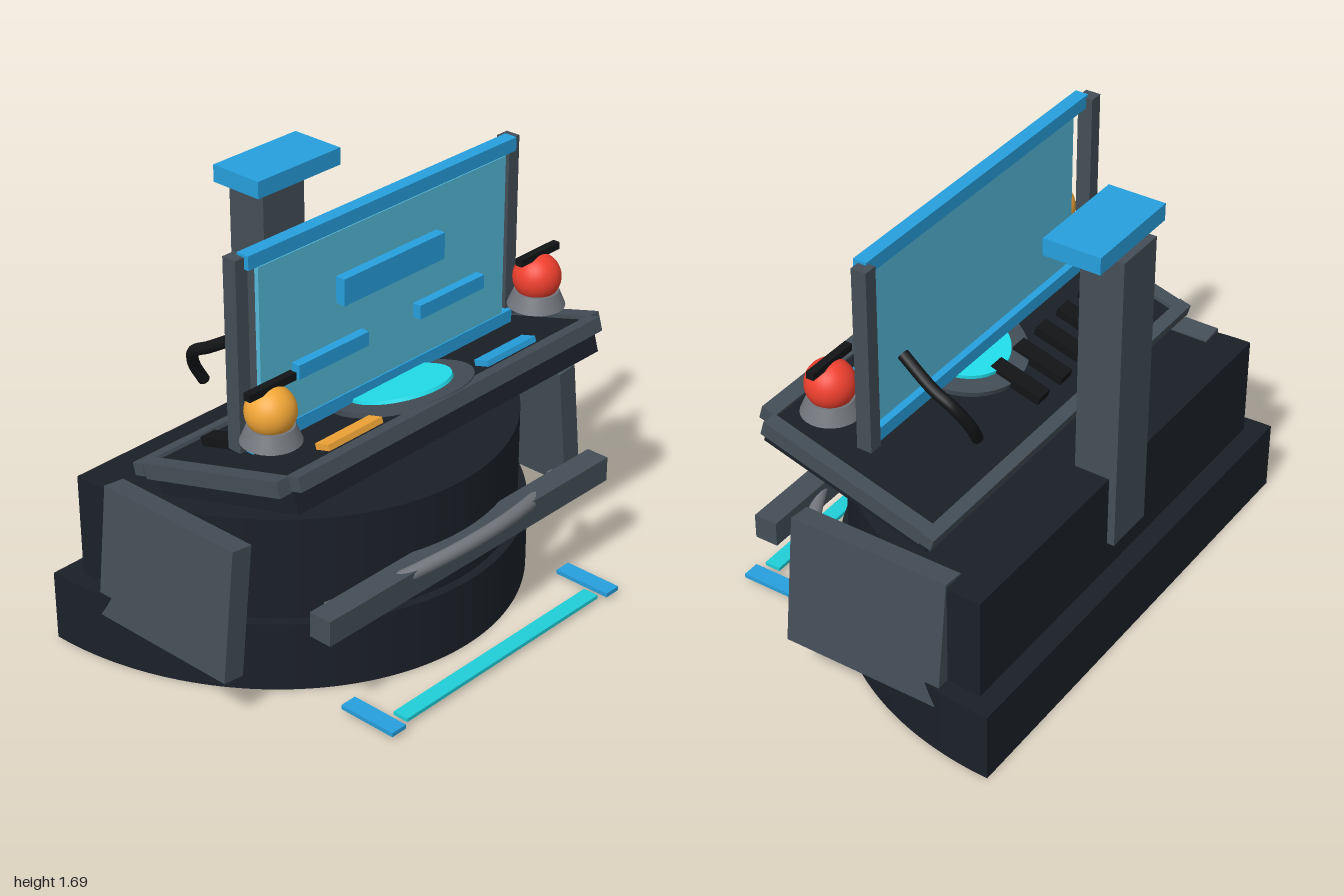
import * as THREE from 'three';

const mat = (color) => new THREE.MeshStandardMaterial({ color });
const M = {
  dark: mat(0x1b2028), frame: mat(0x444e57), metal: mat(0x72767c), black: mat(0x121416),
  blue: mat(0x26a0de), glass: mat(0x56badb), cyan: mat(0x22e0ee), teal: mat(0x20cfd9),
  amber: mat(0xf2a636), red: mat(0xf0402e),
};

export function createModel() {
  const root = new THREE.Group();
  root.name = 'controlStation';

  const add = (name, geometry, material, x = 0, y = 0, z = 0, parent = root) => {
    const mesh = new THREE.Mesh(geometry, material);
    mesh.name = name;
    mesh.position.set(x, y, z);
    parent.add(mesh);
    return mesh;
  };
  // Box given by its extents on each axis
  const box = (name, material, [x0, x1], [y0, y1], [z0, z1], parent = root) =>
    add(name, new THREE.BoxGeometry(x1 - x0, y1 - y0, z1 - z0), material,
      (x0 + x1) / 2, (y0 + y1) / 2, (z0 + z1) / 2, parent);

  // Half-elliptical block: flat back at zBack, bulging toward the front
  const halfBlock = (name, halfWidth, depth, y0, y1, zBack) => {
    const shape = new THREE.Shape();
    shape.moveTo(halfWidth, 0);
    shape.absellipse(0, 0, halfWidth, depth, 0, Math.PI, false);
    shape.closePath();
    const g = new THREE.ExtrudeGeometry(shape, { depth: y1 - y0, bevelEnabled: false, curveSegments: 48 });
    g.rotateX(Math.PI / 2); // shape y becomes +z, extrusion goes down
    // Radial normals for a smooth curved wall
    const p = g.attributes.position, n = g.attributes.normal, v = new THREE.Vector3();
    for (let i = 0; i < p.count; i++) {
      if (Math.abs(n.getY(i)) > 0.5 || n.getZ(i) < -0.9) continue;
      v.set(p.getX(i) / halfWidth ** 2, 0, p.getZ(i) / depth ** 2).normalize();
      n.setXYZ(i, v.x, v.y, v.z);
    }
    add(name, g, M.dark, 0, y1, zBack);
  };
  halfBlock('base', 1, 1.145, 0, 0.28, -0.67);
  halfBlock('body', 0.925, 1.03, 0.28, 0.69, -0.59);

  // Leaning side panels
  for (const s of [-1, 1]) {
    const panel = add('sidePanel', new THREE.BoxGeometry(0.09, 0.515, 0.65), M.frame, s * 0.905, 0.445, -0.125);
    panel.rotation.z = s * 0.115;
  }

  // Front rail with curved grab bar
  box('frontRail', M.frame, [-0.76, 0.76], [0.38, 0.48], [0.405, 0.5]);
  const R = 1.1, half = 0.6, tilt = 1.1;
  const arc = new THREE.TorusGeometry(R, 0.027, 12, 40, half * 2);
  arc.rotateZ(Math.PI / 2 - half).rotateX(tilt);
  add('grabBar', arc, M.metal, 0, 0.484 - R * Math.cos(tilt), 0.52 - R * Math.sin(tilt));

  // Floor light strips
  box('floorStrip', M.teal, [-0.535, 0.535], [0.02, 0.035], [0.59, 0.655]);
  for (const s of [-1, 1])
    add('floorMarker', new THREE.BoxGeometry(0.07, 0.017, 0.245), M.blue, s * 0.6, 0.028, 0.553);

  // Tilted console: origin at the centre of the rim's top plane
  const desk = new THREE.Group();
  desk.name = 'console';
  desk.position.set(0, 0.92, 0.02);
  desk.rotation.x = -0.28;
  root.add(desk);
  box('consoleBody', M.dark, [-0.8, 0.8], [-0.14, -0.015], [-0.355, 0.355], desk);
  box('frontRim', M.frame, [-0.8, 0.8], [-0.055, 0], [0.335, 0.395], desk);
  box('backRim', M.frame, [-0.86, 0.86], [-0.048, 0], [-0.395, -0.345], desk);
  for (const s of [-1, 1])
    add('sideRim', new THREE.BoxGeometry(0.06, 0.06, 0.69), M.frame, s * 0.825, -0.03, 0, desk);
  add('dialRing', new THREE.CylinderGeometry(0.27, 0.27, 0.025, 48), M.frame, 0, -0.007, 0.115, desk);
  add('dialFace', new THREE.CylinderGeometry(0.195, 0.2, 0.03, 48), M.cyan, 0, 0.004, 0.11, desk);
  box('amberButton', M.amber, [-0.55, -0.28], [-0.02, 0.008], [0.225, 0.29], desk);
  box('blueButton', M.blue, [0.28, 0.55], [-0.02, 0.008], [0.225, 0.29], desk);
  for (let i = 0; i < 5; i++)
    add('key', new THREE.BoxGeometry(0.07, 0.04, 0.22), M.black, -0.6 + i * 0.15, 0, -0.165, desk);

  // Screen in its frame
  box('screen', M.glass, [-0.635, 0.635], [0.95, 1.63], [0.046, 0.064]);
  box('screenTopBar', M.blue, [-0.685, 0.685], [1.637, 1.69], [0.017, 0.07]);
  box('screenBottomBar', M.blue, [-0.685, 0.685], [0.937, 0.99], [0.017, 0.07]);
  box('mainReadout', M.blue, [-0.262, 0.258], [1.362, 1.465], [0.064, 0.104]);
  for (const s of [-1, 1]) {
    add('screenPost', new THREE.BoxGeometry(0.055, 0.73, 0.06), M.frame, s * 0.698, 1.315, 0.02);
    add('smallReadout', new THREE.BoxGeometry(0.35, 0.055, 0.036), M.blue, s * 0.31, 1.188, 0.082);
  }

  // Beacon lamps
  for (const s of [-1, 1]) {
    const lamp = new THREE.Group();
    lamp.name = 'beacon';
    lamp.position.set(s * 0.7, 0, 0.175);
    root.add(lamp);
    add('lampBase', new THREE.CylinderGeometry(0.085, 0.11, 0.06, 28), M.metal, 0, 1.075, 0, lamp);
    add('lampBulb', new THREE.SphereGeometry(0.092, 32, 20), s < 0 ? M.amber : M.red, 0, 1.158, 0, lamp);
    add('lampBar', new THREE.BoxGeometry(0.22, 0.028, 0.03), M.black, 0, 1.25, 0, lamp);
  }

  // Bent control handles
  for (const s of [-1, 1]) {
    const path = new THREE.CatmullRomCurve3([
      [0.54, 1.03, -0.322], [0.585, 1.11, -0.322], [0.622, 1.19, -0.28],
      [0.625, 1.235, -0.2], [0.605, 1.315, -0.065],
    ].map(([x, y, z]) => new THREE.Vector3(s * x, y, z)));
    add('handle', new THREE.TubeGeometry(path, 32, 0.022, 12), M.black);
    // End caps
    for (const t of [0, 1]) {
      const cap = add('handleEnd', new THREE.CircleGeometry(0.022, 12), M.black);
      const dir = path.getTangent(t).multiplyScalar(t ? 1 : -1);
      cap.position.copy(path.getPoint(t));
      cap.quaternion.setFromUnitVectors(new THREE.Vector3(0, 0, 1), dir);
    }
  }

  // Rear post with head block
  box('rearPost', M.frame, [-0.105, 0.105], [0.4, 1.605], [-0.62, -0.447]);
  box('headBlock', M.blue, [-0.21, 0.21], [1.605, 1.672], [-0.59, -0.363]);

  return root;
}
